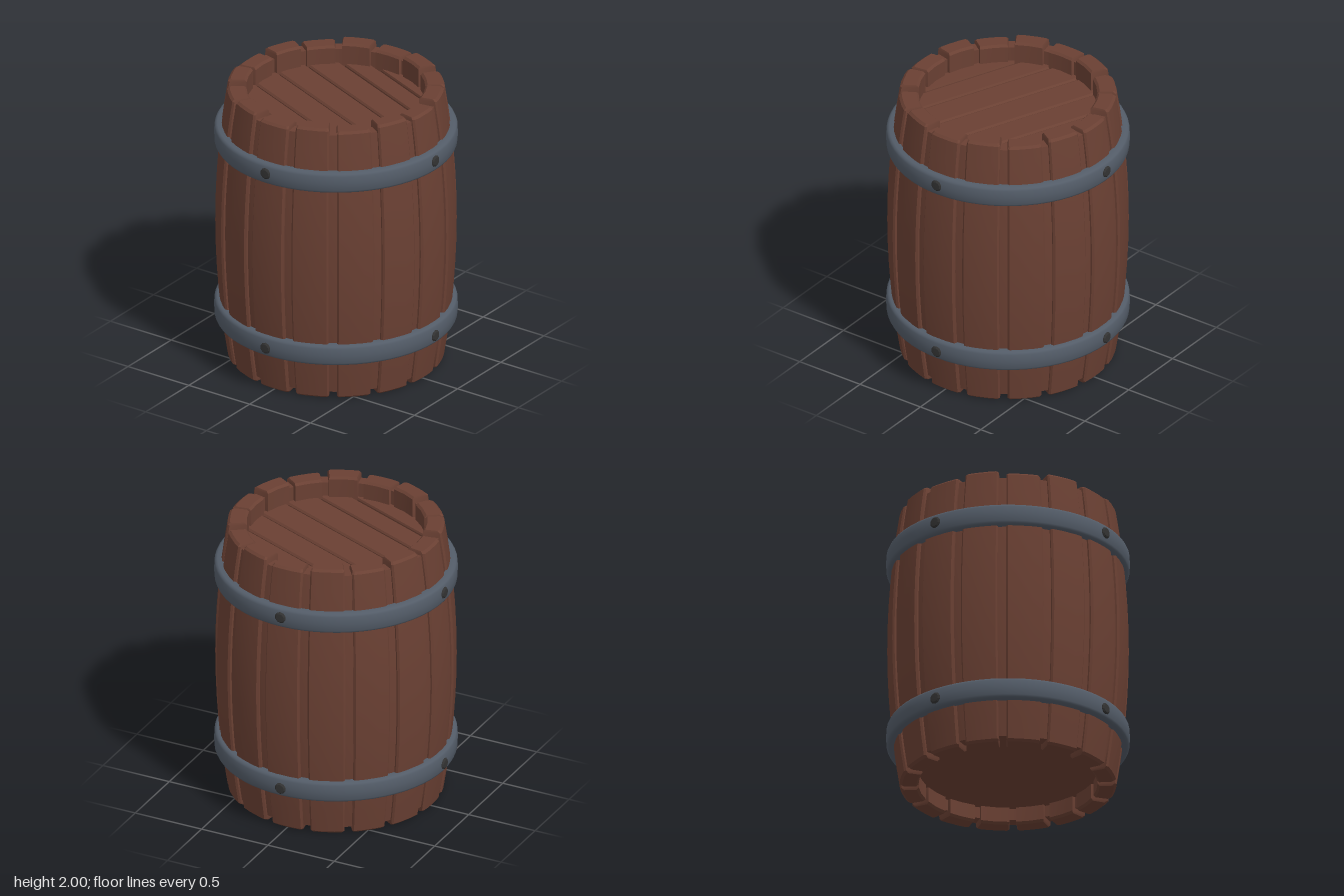
import * as THREE from 'three';
import { toCreasedNormals } from 'three/addons/utils/BufferGeometryUtils.js';

const wood = new THREE.MeshStandardMaterial({ color: 0x6a4033 });
const iron = new THREE.MeshStandardMaterial({ color: 0x535c68 });
const dark = new THREE.MeshStandardMaterial({ color: 0x333333 });

const STAVES = 16;
const INNER = 0.6;
// Bulging outer radius of the barrel at height y
const bulge = (y) => 0.81 - 0.085 * (y - 1) ** 2;

function add(parent, name, geometry, material) {
  const mesh = new THREE.Mesh(geometry, material);
  mesh.name = name;
  parent.add(mesh);
  return mesh;
}

const lathe = (points, segments, crease = 0.6) =>
  toCreasedNormals(new THREE.LatheGeometry(points.map(([r, y]) => new THREE.Vector2(r, y)), segments), crease);

// One bowed stave with bevelled edges, lofted from closed cross-sections
function staveGeometry(top) {
  const half = Math.PI / STAVES - 0.036;
  const bevel = 0.015;
  const rows = [[0, bevel], [bevel, 0]];
  for (let i = 1; i < 12; i++) rows.push([(top * i) / 12, 0]);
  rows.push([top - bevel, 0], [top, bevel]);

  const positions = [], index = [];
  const n = 9;
  for (const [y, inset] of rows) {
    const R = bulge(y) - inset, r = INNER + inset, a = half - inset * 0.6;
    const section = [
      [-a, R - 0.012], [-a + 0.016, R], [-a * 0.4, R], [a * 0.4, R], [a - 0.016, R], [a, R - 0.012],
      [a, r], [0, r], [-a, r],
    ];
    for (const [angle, rad] of section) positions.push(rad * Math.sin(angle), y, rad * Math.cos(angle));
  }
  for (let j = 0; j < rows.length - 1; j++) {
    for (let i = 0; i < n; i++) {
      const a = j * n + i, b = j * n + (i + 1) % n;
      index.push(a, b, b + n, a, b + n, a + n);
    }
  }
  // End caps
  const last = (rows.length - 1) * n;
  const mid = (INNER + bulge(0)) / 2;
  const c = positions.length / 3;
  positions.push(0, 0, mid, 0, top, mid);
  for (let i = 0; i < n; i++) {
    const k = (i + 1) % n;
    index.push(c, k, i, c + 1, last + i, last + k);
  }
  const g = new THREE.BufferGeometry();
  g.setAttribute('position', new THREE.Float32BufferAttribute(positions, 3));
  g.setIndex(index);
  return toCreasedNormals(g, 0.5);
}

// Lid plank between two cuts across a disc
function plankGeometry(u0, u1) {
  const R = 0.62, steps = 10, bevel = 0.012;
  const a = u0 + bevel, b = u1 - bevel;
  const upper = [], lower = [];
  for (let i = 0; i <= steps; i++) {
    const u = a + ((b - a) * i) / steps;
    const v = Math.sqrt(Math.max(R * R - u * u, 0.0001));
    lower.push(new THREE.Vector2(u, -v));
    upper.unshift(new THREE.Vector2(u, v));
  }
  const g = new THREE.ExtrudeGeometry(new THREE.Shape([...lower, ...upper]), {
    depth: 0.03, bevelEnabled: true, bevelSize: bevel, bevelThickness: bevel, bevelSegments: 1,
  });
  return g.rotateX(-Math.PI / 2);
}

export function createModel() {
  const model = new THREE.Group();
  model.name = 'barrel';

  // Staves, alternating slightly in height
  const staves = new THREE.Group();
  staves.name = 'staves';
  model.add(staves);
  const shapes = [staveGeometry(1.98), staveGeometry(2)];
  for (let i = 0; i < STAVES; i++) {
    add(staves, 'stave', shapes[i % 2], wood).rotation.y = (i * 2 * Math.PI) / STAVES;
  }

  // Recessed shell showing in the gaps between staves
  const shell = [[0.625, 0.04]];
  for (let i = 0; i <= 12; i++) {
    const y = 0.04 + (1.91 * i) / 12;
    shell.push([bulge(y) - 0.024, y]);
  }
  shell.push([0.625, 1.95], [0.625, 0.04]);
  add(model, 'seamShell', lathe(shell, 64), wood);

  // Lid planks over a backing disc
  const lid = new THREE.Group();
  lid.name = 'lid';
  lid.position.y = 1.81;
  lid.rotation.y = -Math.PI / 8;
  model.add(lid);
  const cuts = [-0.62, -0.476, -0.3, -0.08, 0.145, 0.359, 0.518, 0.62];
  for (let i = 0; i < cuts.length - 1; i++) {
    add(lid, 'lidPlank', plankGeometry(cuts[i] + 0.004, cuts[i + 1] - 0.004), wood);
  }
  add(lid, 'lidBacking', new THREE.CylinderGeometry(0.635, 0.635, 0.04, 48), wood);

  // Plain recessed bottom
  add(model, 'bottom', new THREE.CylinderGeometry(0.635, 0.635, 0.04, 48), wood).position.y = 0.14;

  // Rounded iron hoops, each with four bolts
  const hoop = lathe([
    [0.755, -0.073], [0.795, -0.073], [0.808, -0.066], [0.815, -0.052], [0.818, 0],
    [0.815, 0.052], [0.808, 0.066], [0.795, 0.073], [0.755, 0.073], [0.755, -0.073],
  ], 64, 0.8);
  const bolt = lathe([[0.04, 0], [0.04, 0.026], [0.03, 0.034], [0, 0.036]], 10, 0.3).rotateX(Math.PI / 2);
  for (const [name, y, boltY] of [['lowerHoop', 0.354, 0.345], ['upperHoop', 1.638, 1.645]]) {
    add(model, name, hoop, iron).position.y = y;
    for (let i = 0; i < 4; i++) {
      const a = (i * Math.PI) / 2;
      const mesh = add(model, 'bolt', bolt, dark);
      mesh.position.set(0.794 * Math.sin(a), boltY, 0.794 * Math.cos(a));
      mesh.rotation.y = a;
    }
  }
  return model;
}
